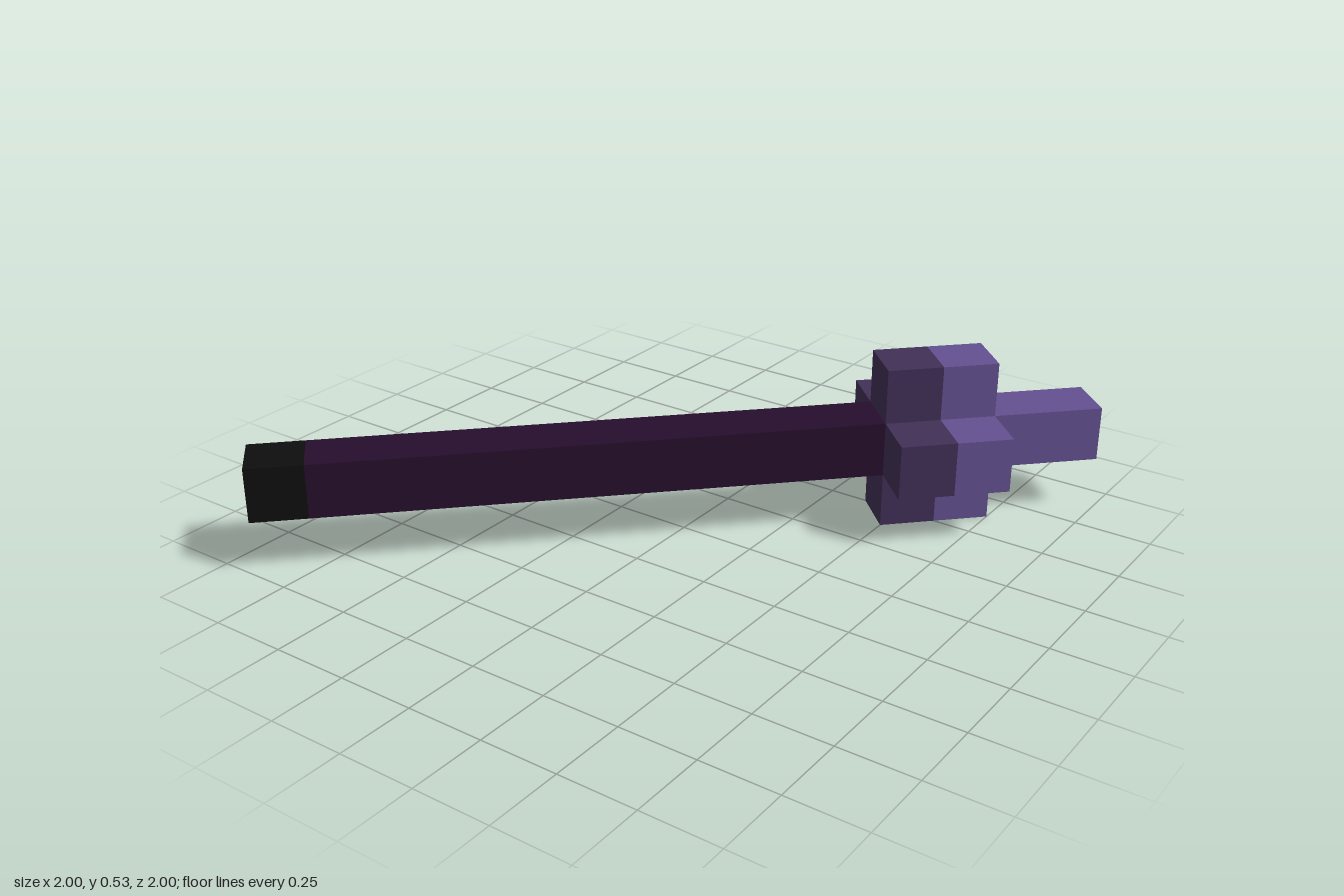
import * as THREE from 'three';

const U = Math.SQRT2 / 8; // edge of one block

function material(name, color) {
  const m = new THREE.MeshStandardMaterial({ color });
  m.name = name;
  return m;
}

// Plus-shaped outline, three blocks across
function crossShape() {
  const a = U / 2, b = U * 1.5;
  return new THREE.Shape([
    [a, -b], [a, -a], [b, -a], [b, a], [a, a], [a, b],
    [-a, b], [-a, a], [-b, a], [-b, -a], [-a, -a], [-a, -b],
  ].map(([x, y]) => new THREE.Vector2(x, y)));
}

export function createModel() {
  const black = material('black', 0x0e0e0e);
  const plum = material('dark plum', 0x260e2d);
  const dusk = material('dusky purple', 0x403057);
  const violet = material('violet', 0x635091);

  const model = new THREE.Group();
  model.name = 'mace';
  const body = new THREE.Group(); // built along z, then turned to the diagonal
  body.name = 'maceBody';
  body.position.y = 1.5 * U;
  body.rotation.y = Math.PI * 0.75;
  model.add(body);

  // Parts run from block "start" to block "end" along the axis
  function add(name, geometry, mat, z) {
    const mesh = new THREE.Mesh(geometry, mat);
    mesh.name = name;
    mesh.position.z = z * U;
    body.add(mesh);
  }
  const bar = (name, mat, start, end) =>
    add(name, new THREE.BoxGeometry(U, U, (end - start) * U), mat, (start + end) / 2);
  const cross = (name, mat, start, end) =>
    add(name, new THREE.ExtrudeGeometry(crossShape(), { depth: (end - start) * U, bevelEnabled: false }), mat, start);

  bar('pommel', black, -7.5, -6.5);
  bar('shaft', plum, -6.5, 3.5);
  cross('headCollar', dusk, 3.5, 4.5);
  cross('headCrown', violet, 4.5, 5.5);
  bar('tip', violet, 5.5, 7.5);

  return model;
}
